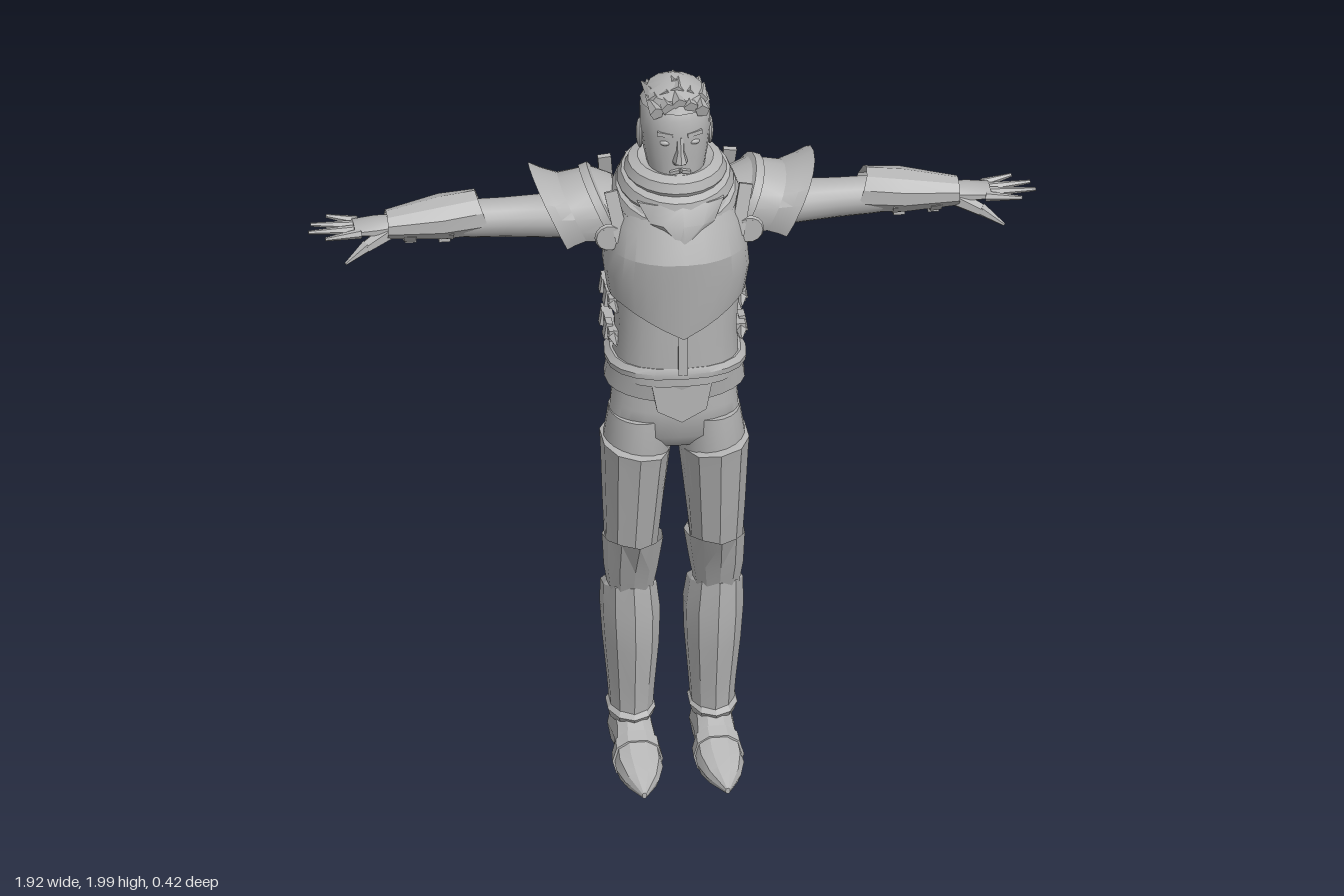
import * as THREE from 'three';
import { toCreasedNormals, mergeGeometries } from 'three/addons/utils/BufferGeometryUtils.js';

const grey = new THREE.MeshStandardMaterial({ color: 0xb4b4b4, side: THREE.DoubleSide });
grey.name = 'plain grey';

// Cross-section orders: the first number of a section runs along the chosen axis
const toAxis = {
  y: (u, t, v) => [u, t, v],
  x: (u, t, v) => [t, v, u],
  z: (u, t, v) => [v, u, t],
};

// Skin over sections [t, cu, cv, ru, rv]; "power" below 1 makes them boxier, "arc" below PI leaves them open
function loft(sections, { axis = 'y', n = 20, power = 1, arc = Math.PI, shape } = {}) {
  const pos = [], index = [], closed = arc === Math.PI;
  const bend = (v) => Math.sign(v) * Math.abs(v) ** power;
  sections.forEach(([t, cu, cv, ru, rv], i) => {
    for (let j = 0; j <= n; j++) {
      const a = -arc + (2 * arc * j) / n;
      const p = new THREE.Vector3(...toAxis[axis](cu + ru * bend(Math.sin(a)), t, cv + rv * bend(Math.cos(a))));
      if (shape) shape(p, a, i);
      pos.push(p.x, p.y, p.z);
    }
  });
  const row = n + 1, last = (sections.length - 1) * row;
  for (let i = 0; i < sections.length - 1; i++) {
    for (let j = 0; j < n; j++) {
      const a = i * row + j, b = a + row;
      index.push(a, a + 1, b + 1, a, b + 1, b);
    }
  }
  if (closed) {
    for (let j = 1; j < n - 1; j++) index.push(0, j + 1, j, last, last + j, last + j + 1);
  }
  const g = new THREE.BufferGeometry();
  g.setAttribute('position', new THREE.Float32BufferAttribute(pos, 3));
  g.setIndex(index);
  return g;
}

// Tapered rod between two points
function rod(from, to, r0, r1, sides = 6) {
  const a = new THREE.Vector3(...from), b = new THREE.Vector3(...to), d = b.clone().sub(a);
  const g = new THREE.CylinderGeometry(r1, r0, d.length(), sides);
  g.applyQuaternion(new THREE.Quaternion().setFromUnitVectors(new THREE.Vector3(0, 1, 0), d.normalize()));
  const m = a.add(b).multiplyScalar(0.5);
  return g.translate(m.x, m.y, m.z);
}

const box = (w, h, d, x, y, z, rx = 0, ry = 0, rz = 0) =>
  new THREE.BoxGeometry(w, h, d).rotateX(rx).rotateY(ry).rotateZ(rz).translate(x, y, z);
const ball = (rx, ry, rz, x, y, z) => new THREE.SphereGeometry(1, 14, 10).scale(rx, ry, rz).translate(x, y, z);

// Flat plate from an outline in x and y
function plate(points, depth, z) {
  const s = new THREE.Shape(points.map(([x, y]) => new THREE.Vector2(x, y)));
  return new THREE.ExtrudeGeometry(s, { depth, bevelEnabled: false }).translate(0, 0, z);
}

function bare(geometry) {
  const g = geometry.index ? geometry.toNonIndexed() : geometry.clone();
  for (const name of Object.keys(g.attributes)) if (name !== 'position') g.deleteAttribute(name);
  g.clearGroups();
  return g;
}

function flip(geometry) {
  const g = bare(geometry), p = g.attributes.position;
  for (let i = 0; i < p.count; i += 3) {
    const [b, c] = [i + 1, i + 2].map((k) => new THREE.Vector3().fromBufferAttribute(p, k));
    p.setX(i, -p.getX(i));
    p.setXYZ(i + 1, -c.x, c.y, c.z);
    p.setXYZ(i + 2, -b.x, b.y, b.z);
  }
  return g;
}

export function createModel() {
  const model = new THREE.Group();
  const add = (name, parts, crease = 0.6) => {
    const merged = mergeGeometries([parts].flat().map(bare));
    const mesh = new THREE.Mesh(toCreasedNormals(merged, crease), grey);
    mesh.name = name;
    model.add(mesh);
  };
  const pair = (name, parts, crease) => {
    add(name + 'Left', parts, crease);
    add(name + 'Right', [parts].flat().map(flip), crease);
  };

  // Head and neck
  add('neck', loft([[1.6, 0, -0.04, 0.08, 0.08], [1.76, 0, -0.025, 0.066, 0.07]]));
  add('head', loft([
    [1.685, 0, 0.055, 0.026, 0.03], [1.715, 0, 0.03, 0.056, 0.06], [1.75, 0, 0.005, 0.074, 0.086],
    [1.8, 0, -0.008, 0.085, 0.099], [1.86, 0, -0.01, 0.092, 0.107], [1.91, 0, -0.013, 0.092, 0.106],
    [1.95, 0, -0.015, 0.077, 0.092], [1.972, 0, -0.015, 0.045, 0.06], [1.978, 0, -0.015, 0.012, 0.015],
  ], { n: 24, power: 0.92 }), 1.2);
  add('nose', loft([
    [1.785, 0, 0.085, 0.018, 0.012], [1.797, 0, 0.092, 0.02, 0.03],
    [1.825, 0, 0.09, 0.011, 0.02], [1.865, 0, 0.085, 0.011, 0.014],
  ], { n: 8 }));
  add('mouth', [ball(0.022, 0.006, 0.01, 0, 1.754, 0.09), ball(0.018, 0.006, 0.01, 0, 1.744, 0.088)]);
  add('beard', [
    loft([[1.68, 0, 0.075, 0.012, 0.014], [1.705, 0, 0.07, 0.03, 0.027], [1.735, 0, 0.07, 0.02, 0.024]], { n: 8 }),
    box(0.026, 0.009, 0.014, 0.014, 1.767, 0.093, 0, 0.25, -0.3), box(0.026, 0.009, 0.014, -0.014, 1.767, 0.093, 0, -0.25, 0.3),
  ]);
  pair('eye', ball(0.016, 0.008, 0.01, 0.037, 1.848, 0.083));
  pair('eyebrow', box(0.042, 0.011, 0.016, 0.038, 1.872, 0.083, 0, 0.3, 0.12));
  pair('ear', ball(0.01, 0.042, 0.024, 0.092, 1.832, -0.018));

  // Hair: a low cap with swept-back tufts
  add('hairCap', loft([
    [1.93, 0, -0.014, 0.092, 0.108], [1.962, 0, -0.014, 0.073, 0.093], [1.983, 0, -0.014, 0.03, 0.045],
  ], { n: 14 }));
  const tufts = [];
  for (let r = 0; r < 4; r++) {
    for (let c = -2; c <= 2; c++) {
      const x = c * 0.03, z = 0.085 - r * 0.045, y = 1.97 - Math.abs(c) * 0.011 - (r === 0 ? 0.014 : 0) - (r === 3 ? 0.01 : 0);
      tufts.push(rod([x, y, z], [x * 1.15 + (r % 2 ? 0.01 : -0.01), y + 0.02 - r * 0.008, z - 0.07], 0.02, 0.003, 5));
    }
  }
  add('hairTufts', tufts, 0.3);

  // Scarf: tilted folds, lower at the front
  [[0.1, 0.035, 1.735, 0.12], [0.118, 0.036, 1.705, 0.24], [0.135, 0.032, 1.672, 0.34]].forEach(([r, t, y, tilt], i) => {
    add('scarfFold' + (i + 1), new THREE.TorusGeometry(r, t, 8, 22).scale(1, 1.02, 1).rotateX(Math.PI / 2 + tilt).translate(0, y, -0.005), 0.7);
  });
  add('scarfDrape', loft([[1.59, 0, 0.15, 0.02, 0.025], [1.64, 0, 0.12, 0.09, 0.05], [1.69, 0, 0.09, 0.12, 0.05]], { n: 10 }));

  // Breastplate with a keel and a pointed lower edge
  add('breastplate', loft([
    [1.395, 0, 0, 0.18, 0.155], [1.47, 0, 0.003, 0.192, 0.172], [1.54, 0, 0.003, 0.185, 0.18],
    [1.61, 0, -0.01, 0.172, 0.166], [1.67, 0, -0.018, 0.15, 0.145], [1.7, 0, -0.02, 0.1, 0.11],
  ], {
    n: 28, power: 0.8, shape: (p, a, i) => {
      const front = Math.max(0, Math.cos(a));
      p.z += 0.012 * front ** 8;
      if (i === 0 && front > 0) p.y -= 0.085 * Math.max(0, 1 - Math.abs(p.x) / 0.16);
    },
  }), 0.35);
  add('backPlate', plate([[-0.07, 1.68], [-0.055, 1.46], [0, 1.41], [0.055, 1.46], [0.07, 1.68]], 0.02, -0.193));
  add('backCollar', box(0.22, 0.045, 0.05, 0, 1.675, -0.155, 0.3));

  // Waist, belt and skirt
  add('waist', loft([
    [1.16, 0, -0.01, 0.165, 0.15], [1.22, 0, -0.005, 0.165, 0.148], [1.3, 0, -0.003, 0.16, 0.148], [1.42, 0, 0, 0.17, 0.148],
  ], { n: 20, power: 0.8 }));
  add('waistKeel', plate([[-0.012, 1.2], [0.012, 1.2], [0.012, 1.35], [-0.012, 1.35]], 0.015, 0.138));
  add('belt', loft([[1.185, 0, -0.012, 0.185, 0.16], [1.2, 0, -0.012, 0.187, 0.162], [1.215, 0, -0.01, 0.172, 0.154]], { n: 20, power: 0.8 }));
  add('skirt', loft([[1.125, 0, -0.025, 0.185, 0.143], [1.2, 0, -0.012, 0.172, 0.15]], {
    n: 24, power: 0.8, shape: (p, a, i) => { if (i === 0 && p.z > 0) p.y -= 0.025 * (1 - Math.abs(p.x) / 0.19); },
  }));
  add('frontFlap', plate([[-0.085, 1.19], [-0.065, 1.085], [0, 1.05], [0.065, 1.085], [0.085, 1.19]], 0.015, 0.112));

  // Side straps and buckles
  const straps = [];
  for (const y of [1.365, 1.27]) {
    straps.push(box(0.025, 0.03, 0.17, 0.168, y, -0.045), box(0.018, 0.045, 0.04, 0.178, y, -0.01, 0, 0, 0.15),
      box(0.018, 0.04, 0.03, 0.178, y - 0.005, -0.09, 0, 0, 0.15), rod([0.17, y, 0.03], [0.165, y - 0.012, 0.07], 0.016, 0.004, 4));
  }
  pair('sideStraps', straps);

  // Hips and legs
  add('hips', loft([
    [0.945, 0, -0.03, 0.1, 0.08], [0.985, 0, -0.03, 0.175, 0.115], [1.06, 0, -0.028, 0.168, 0.12], [1.17, 0, -0.025, 0.152, 0.115],
  ], { n: 24, power: 0.9 }), 1);
  pair('leg', loft([
    [0.48, 0.113, -0.06, 0.058, 0.06], [0.62, 0.113, -0.045, 0.066, 0.072], [0.8, 0.105, -0.03, 0.08, 0.1],
    [0.94, 0.098, -0.028, 0.09, 0.115], [1.03, 0.09, -0.028, 0.083, 0.115],
  ]), 1);
  pair('thighPlate', loft([
    [0.6, 0.113, -0.047, 0.067, 0.078], [0.75, 0.11, -0.035, 0.077, 0.104],
    [0.9, 0.107, -0.025, 0.086, 0.128], [0.935, 0.106, -0.024, 0.089, 0.136], [0.94, 0.106, -0.026, 0.08, 0.115],
  ], { n: 10, power: 0.85, shape: (p, a, i) => { if (i > 1) p.y += (p.x - 0.106) * 0.15; } }), 0.3);
  pair('kneePlate', loft([
    [0.5, 0.114, -0.035, 0.06, 0.055], [0.57, 0.113, -0.03, 0.072, 0.085], [0.655, 0.108, -0.02, 0.08, 0.13],
  ], {
    n: 8, arc: 2.3, shape: (p, a, i) => {
      p.y += i * 0.012 * Math.cos(a);
      if (i === 2 && a) p.z -= 0.015;
    },
  }), 0.3);
  pair('kneeStrap', loft([[0.575, 0.114, -0.05, 0.07, 0.078], [0.61, 0.114, -0.05, 0.07, 0.078]], { n: 12 }));
  pair('shinPlate', loft([
    [0.13, 0.107, -0.08, 0.057, 0.065], [0.2, 0.107, -0.082, 0.062, 0.075], [0.33, 0.108, -0.08, 0.074, 0.098],
    [0.43, 0.11, -0.078, 0.079, 0.103], [0.5, 0.114, -0.076, 0.073, 0.1], [0.515, 0.115, -0.07, 0.062, 0.08],
  ], {
    n: 10, power: 0.9, shape: (p, a, i) => {
      p.z += 0.008 * Math.max(0, Math.cos(a)) ** 6;
      if (i > 3) p.y += 0.025 * Math.cos(a);
    },
  }), 0.3);
  pair('ankleBand', loft([[0.115, 0.108, -0.082, 0.058, 0.072], [0.14, 0.108, -0.082, 0.066, 0.088], [0.155, 0.108, -0.082, 0.056, 0.07]], {
    n: 10, shape: (p) => { p.y -= (p.z + 0.08) * 0.15; },
  }), 0.3);

  // Pointed armoured shoes
  pair('shoe', loft([
    [-0.155, 0.05, 0.108, 0.045, 0.04], [-0.12, 0.065, 0.108, 0.075, 0.056], [-0.055, 0.075, 0.107, 0.072, 0.055],
    [-0.02, 0.072, 0.106, 0.058, 0.054], [0.03, 0.045, 0.106, 0.057, 0.06], [0.09, 0.03, 0.107, 0.045, 0.062],
    [0.15, 0.022, 0.108, 0.028, 0.045], [0.21, 0.008, 0.11, 0.008, 0.006],
  ], { axis: 'z', n: 10, power: 0.85, shape: (p) => { p.y = Math.max(p.y, 0); } }), 0.3);
  pair('shoeBand', loft([[0.02, 0.045, 0.106, 0.064, 0.065], [0.055, 0.037, 0.107, 0.058, 0.067]], {
    axis: 'z', n: 10, power: 0.85, shape: (p) => { p.y = Math.max(p.y, 0); },
  }), 0.3);

  // Arms
  pair('arm', loft([
    [0.13, -0.07, 1.575, 0.08, 0.07], [0.25, -0.08, 1.575, 0.074, 0.062], [0.35, -0.088, 1.572, 0.062, 0.056],
    [0.44, -0.092, 1.572, 0.054, 0.052], [0.52, -0.09, 1.575, 0.054, 0.05], [0.74, -0.075, 1.576, 0.032, 0.028],
  ], { axis: 'x', n: 16 }), 1);
  pair('bracer', loft([
    [0.495, -0.094, 1.592, 0.058, 0.062], [0.61, -0.086, 1.588, 0.07, 0.058], [0.755, -0.068, 1.583, 0.044, 0.038],
  ], { axis: 'x', n: 8, arc: 2.5, shape: (p, a, i) => { if (i === 0) p.x += (p.y - 1.59) * 0.35; } }), 0.3);
  const bands = [0.58, 0.68].map((x) => loft([[x, -0.086, 1.572, 0.058, 0.045], [x + 0.03, -0.084, 1.573, 0.054, 0.043]], { axis: 'x', n: 10 }));
  pair('bracerStraps', [...bands, box(0.03, 0.016, 0.04, 0.6, 1.528, -0.09), box(0.03, 0.016, 0.04, 0.69, 1.534, -0.085)]);

  // Hands with spread fingers and a lowered thumb
  pair('palm', loft([
    [0.72, -0.075, 1.576, 0.032, 0.027], [0.78, -0.08, 1.574, 0.045, 0.024], [0.84, -0.083, 1.572, 0.046, 0.015],
  ], { axis: 'x', n: 10 }));
  const reach = [0.905, 0.95, 0.96, 0.92];
  pair('fingers', reach.map((x, i) => {
    const z = -0.12 + i * 0.025, tip = -0.135 + i * 0.034;
    return rod([0.825, 1.572, z], [x, 1.585 - i * 0.006, tip], 0.014, 0.005);
  }));
  pair('thumb', [rod([0.75, 1.565, -0.06], [0.815, 1.538, -0.03], 0.024, 0.017), rod([0.81, 1.542, -0.032], [0.87, 1.503, -0.01], 0.018, 0.004)]);

  // Shoulder armour: overlapping shells, slanted outward at the top
  const slant = (p) => { p.x += (p.y - 1.66) * 0.45; };
  const shell = (sections) => loft(sections, { axis: 'x', n: 12, arc: 2.05, power: 0.9, shape: slant });
  pair('shoulderPlate', shell([[0.15, -0.075, 1.585, 0.1, 0.09], [0.2, -0.08, 1.59, 0.118, 0.108], [0.29, -0.08, 1.59, 0.116, 0.092]]), 0.4);
  pair('shoulderTrim', shell([[0.195, -0.08, 1.59, 0.12, 0.105], [0.2, -0.08, 1.59, 0.127, 0.118], [0.225, -0.08, 1.59, 0.125, 0.11]]), 0.4);
  pair('shoulderRim', shell([
    [0.275, -0.08, 1.59, 0.112, 0.085], [0.325, -0.08, 1.59, 0.12, 0.11], [0.35, -0.08, 1.59, 0.124, 0.128], [0.348, -0.08, 1.59, 0.105, 0.105],
  ]), 0.4);

  // Round shoulder studs, front and back
  const stud = (x, y, z) => [
    new THREE.TorusGeometry(0.03, 0.009, 6, 14).translate(x, y, z),
    new THREE.CylinderGeometry(0.03, 0.03, 0.016, 14).rotateX(Math.PI / 2).translate(x, y, z),
  ];
  pair('shoulderStuds', [...stud(0.185, 1.578, 0.075), ...stud(0.175, 1.585, -0.197)]);
  pair('shoulderStrap', [box(0.035, 0.14, 0.012, 0.165, 1.635, 0.07, -0.2, 0, -0.2), box(0.035, 0.13, 0.014, 0.16, 1.635, -0.18, 0.25, 0, -0.1)]);

  return model;
}
